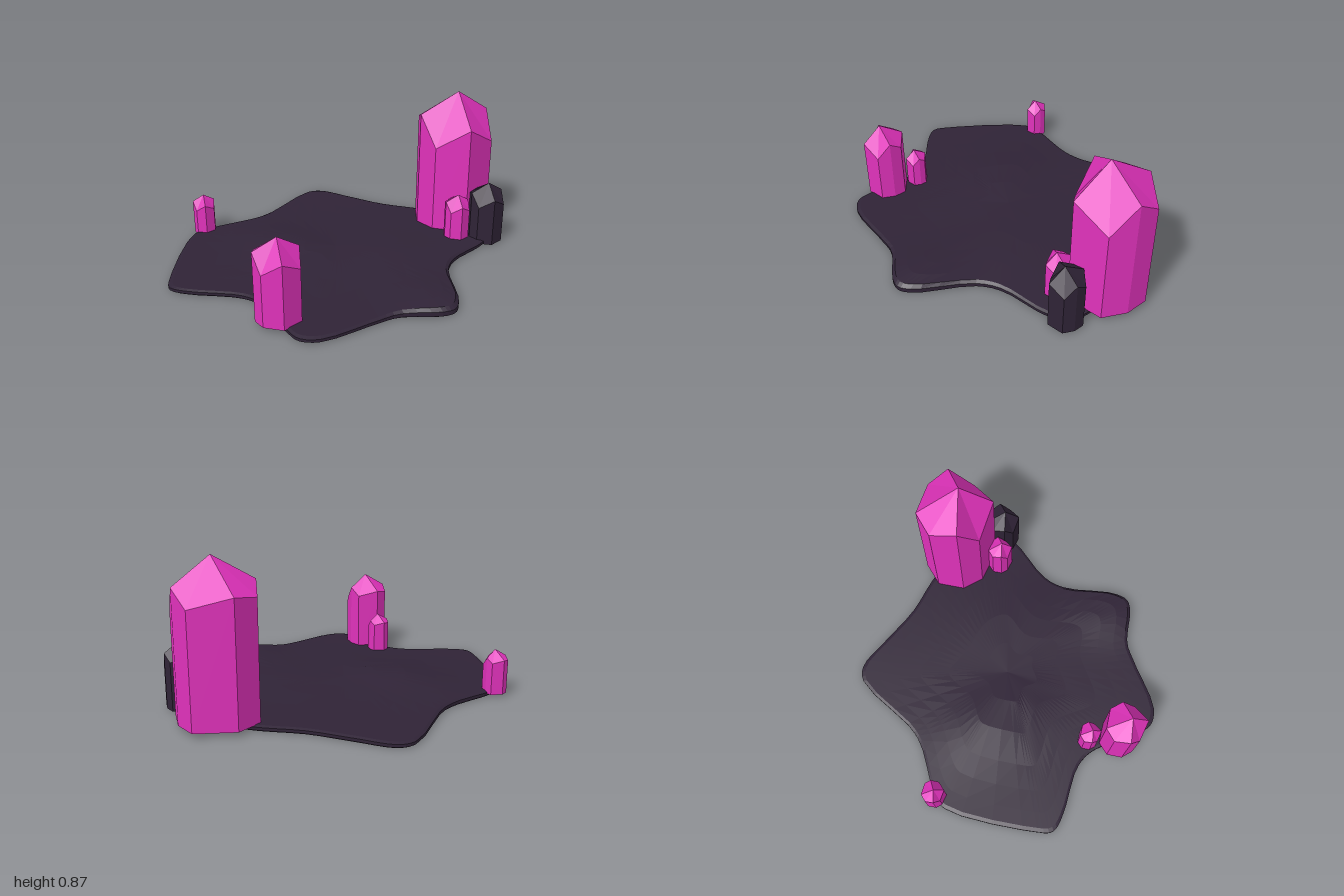
import * as THREE from 'three';

// Skins a stack of closed rings (bottom to top, clockwise seen from above) with flat faces.
function loft(rings) {
  const pos = [];
  const tri = (a, b, c) => {
    const area = new THREE.Triangle(a, b, c).getArea();
    if (area > 1e-9) for (const p of [a, b, c]) pos.push(p.x, p.y, p.z);
  };
  for (let r = 0; r < rings.length - 1; r++) {
    const lo = rings[r], hi = rings[r + 1], n = lo.length;
    for (let i = 0; i < n; i++) {
      const k = (i + 1) % n;
      tri(lo[k], lo[i], hi[i]);
      tri(lo[k], hi[i], hi[k]);
    }
  }
  const geo = new THREE.BufferGeometry();
  geo.setAttribute('position', new THREE.Float32BufferAttribute(pos, 3));
  geo.computeVertexNormals();
  return geo;
}

const V = (x, y, z) => new THREE.Vector3(x, y, z);

// Crystal: eight-sided prism with alternating shoulder heights and an off-centre tip.
// Each entry: x, z (for width 0.42) and shoulder height (for full height 0.84).
const SHOULDERS = [
  [-0.21, -0.055, 0.675], [-0.05, -0.215, 0.62], [0.08, -0.195, 0.705], [0.2, -0.115, 0.54],
  [0.21, 0.095, 0.65], [0.045, 0.21, 0.525], [-0.09, 0.205, 0.705], [-0.21, 0.095, 0.65],
];

function crystalGeometry() {
  const ring = (f) => SHOULDERS.map(f);
  return loft([
    ring(() => V(0, 0, 0)),
    ring(([x, z]) => V(x, 0, z)),
    ring(([x, z, h]) => V(x, h, z)),
    ring(() => V(0.035, 0.84, 0.02)),
  ]);
}

// Slab outline, clockwise seen from above: x, z
const OUTLINE = [
  [-0.83, -0.36], [-0.785, -0.445], [-0.58, -0.525], [-0.35, -0.61], [-0.13, -0.74], [0.1, -0.83],
  [0.28, -0.83], [0.41, -0.78], [0.455, -0.66], [0.48, -0.39], [0.55, -0.26], [0.8, -0.06],
  [0.847, 0.02], [0.825, 0.09], [0.69, 0.26], [0.655, 0.4], [0.595, 0.69], [0.52, 0.765],
  [0.43, 0.765], [0.25, 0.73], [0.11, 0.72], [0.0, 0.76], [-0.22, 0.95], [-0.31, 0.993],
  [-0.4, 0.94], [-0.775, 0.57], [-0.79, 0.47], [-0.72, 0.18], [-0.72, 0.05],
];

function slabGeometry() {
  const curve = new THREE.CatmullRomCurve3(OUTLINE.map(([x, z]) => V(x, 0, z)), true);
  const edge = curve.getPoints(96).slice(0, -1);
  const cx = -0.05, cz = 0.05;
  const bump = (x, z, h, px, pz, sx, sz) =>
    h * Math.exp(-(((x - px) / sx) ** 2) - ((z - pz) / sz) ** 2);
  // gentle mounds on the top face
  const height = (x, z) => 0.028 + bump(x, z, 0.046, -0.25, 0.26, 0.32, 0.22)
    + bump(x, z, 0.025, 0.2, -0.15, 0.35, 0.3) + bump(x, z, 0.03, 0.7, 0.02, 0.2, 0.2);
  const ring = (s, f) => edge.map((p) => {
    const x = cx + (p.x - cx) * s, z = cz + (p.z - cz) * s;
    return V(x, f(x, z), z);
  });
  return loft([
    ring(0, () => 0),
    ring(0.99, () => 0),
    ring(1, () => 0.006),
    ring(1, (x, z) => 0.022 + (height(x, z) - 0.028) * 0.5),
    ...[0.975, 0.88, 0.75, 0.6, 0.4, 0.2, 0].map((s) => ring(s, height)),
  ]);
}

export function createModel() {
  const group = new THREE.Group();
  const pink = new THREE.MeshStandardMaterial({ color: 0xe032bb });
  pink.name = 'pinkCrystal';
  const dark = new THREE.MeshStandardMaterial({ color: 0x2f2336 });
  dark.name = 'darkStone';

  // star-shaped ground slab
  const slab = new THREE.Mesh(slabGeometry(), dark);
  slab.name = 'groundSlab';
  group.add(slab);

  // crystals: name, material, centre x, centre z, width, bottom y, top y
  const geo = crystalGeometry();
  const crystals = [
    ['largeCrystal', pink, 0.09, -0.785, 0.42, 0.025, 0.866],
    ['backSmallCrystal', pink, 0.29, -0.615, 0.138, 0.025, 0.3],
    ['darkCrystal', dark, 0.395, -0.757, 0.188, 0.003, 0.372],
    ['frontCrystal', pink, 0.31, 0.727, 0.228, 0.022, 0.48],
    ['frontSmallCrystal', pink, 0.147, 0.645, 0.118, 0.03, 0.257],
    ['sideCrystal', pink, -0.79, 0.475, 0.122, 0.015, 0.26],
  ];
  for (const [name, mat, x, z, width, bottom, top] of crystals) {
    const mesh = new THREE.Mesh(geo, mat);
    mesh.name = name;
    mesh.position.set(x, bottom, z);
    mesh.scale.set(width / 0.42, (top - bottom) / 0.84, width / 0.42);
    group.add(mesh);
  }
  return group;
}
